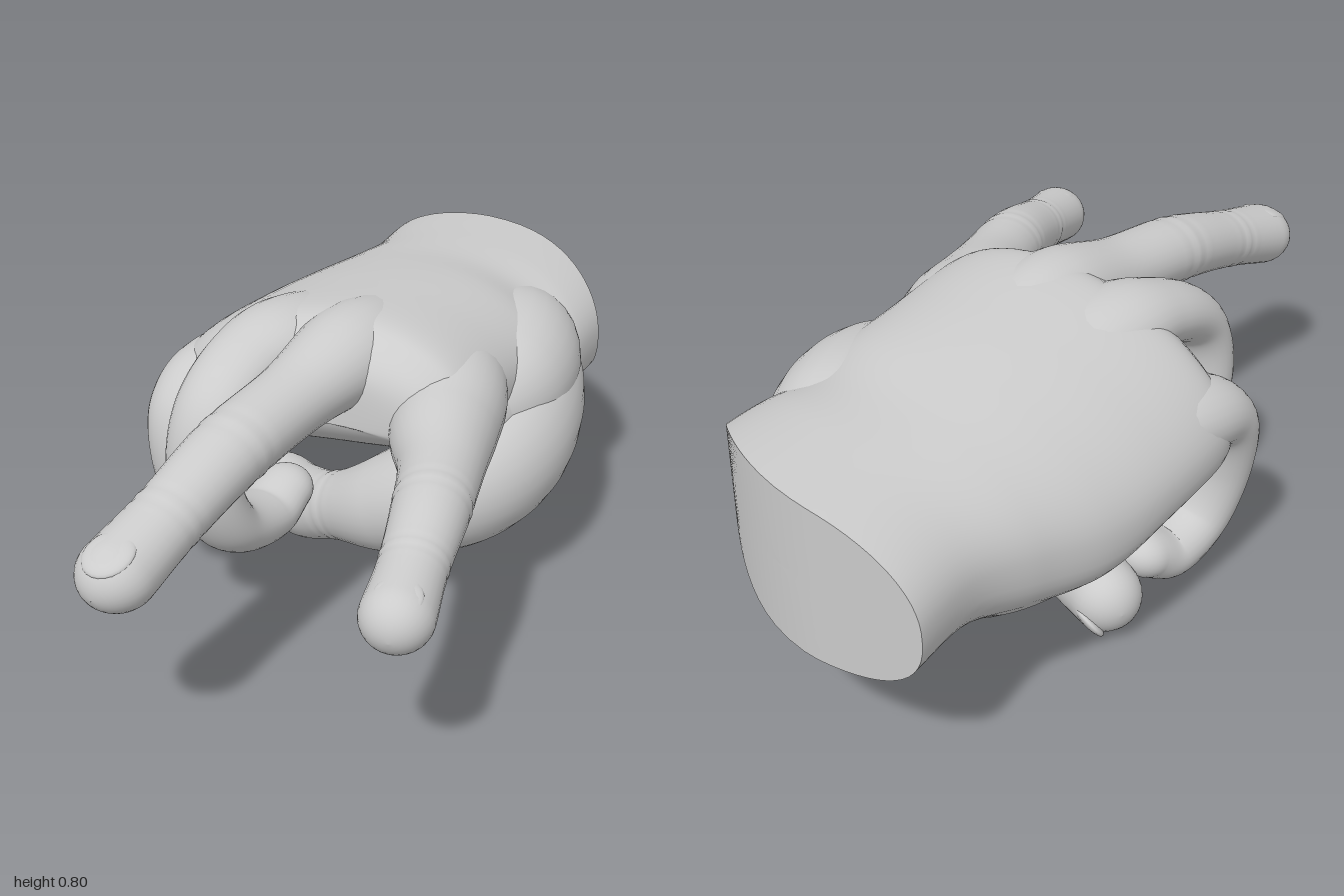
import * as THREE from 'three';

const skin = new THREE.MeshStandardMaterial({ color: 0xcccccc, roughness: 0.8 });
const V = (x, y, z) => new THREE.Vector3(x, y, z);

// Closed rings of points skinned into one smooth surface
function loft(name, rings, around, pointAt) {
  const pos = [], idx = [];
  for (let i = 0; i <= rings; i++) {
    for (let j = 0; j < around; j++) {
      pos.push(...pointAt(i / rings, (j / around) * Math.PI * 2).toArray());
      if (i === rings) continue;
      const a = i * around + j, b = i * around + (j + 1) % around;
      idx.push(a, b, a + around, b, b + around, a + around);
    }
  }
  const geo = new THREE.BufferGeometry();
  geo.setAttribute('position', new THREE.Float32BufferAttribute(pos, 3));
  geo.setIndex(idx);
  geo.computeVertexNormals();
  const mesh = new THREE.Mesh(geo, skin);
  mesh.name = name;
  return mesh;
}

// Smooth interpolation through rows of up to six values
function spline(rows) {
  const make = (k) => new THREE.CatmullRomCurve3(
    rows.map((r) => V(r[k] ?? 0, r[k + 1] ?? 0, r[k + 2] ?? 0)), false, 'catmullrom', 0.5);
  const first = make(0), second = make(3);
  return {
    at: (t) => [...first.getPoint(t).toArray(), ...second.getPoint(t).toArray()],
    tangent: (t) => first.getTangent(t),
  };
}

// Finger or muscle: rows of x, y, z, radius; round at both ends, creased at the joints
function limb(name, rows, sideRef, depth, joints = []) {
  const path = spline(rows), cap = 0.08;
  return loft(name, 130, 28, (u, a) => {
    const t = THREE.MathUtils.clamp((u - cap) / (1 - 2 * cap), 0, 1);
    const [x, y, z, r0] = path.at(t);
    const dir = path.tangent(t);
    const side = sideRef.clone().addScaledVector(dir, -sideRef.dot(dir)).normalize();
    const normal = dir.clone().cross(side);
    let r = r0, push = 0;
    for (const j of joints) r *= 1 + 0.018 * Math.exp(-(((t - j) / 0.03) ** 2)) * Math.cos((t - j) * 180);
    const e = u < cap ? u / cap - 1 : u > 1 - cap ? (u - 1 + cap) / cap : 0;
    if (e) {
      push = r * Math.sin(e * Math.PI / 2);
      r *= Math.max(Math.cos(e * Math.PI / 2), 0.002);
    }
    return V(x, y, z).addScaledVector(dir, push)
      .addScaledVector(side, r * Math.cos(a))
      .addScaledVector(normal, r * depth * Math.sin(a));
  });
}

// Thin curved nail lying along a fingertip
function nail(name, center, along, up, size) {
  const mesh = new THREE.Mesh(new THREE.SphereGeometry(1, 24, 16), skin);
  const z = along.clone().normalize();
  const x = up.clone().cross(z).normalize();
  mesh.quaternion.setFromRotationMatrix(new THREE.Matrix4().makeBasis(x, z.clone().cross(x), z));
  mesh.scale.set(size, size * 0.3, size * 1.05);
  mesh.position.copy(center);
  mesh.name = name;
  return mesh;
}

// Palm sections: z, centre x, half width, centre y, half height, tilt
const palmPath = spline([
  [-1.0, -0.08, 0.40, 0.50, 0.20, 0.0],
  [-0.8, -0.07, 0.39, 0.505, 0.205, 0.0],
  [-0.63, -0.09, 0.41, 0.495, 0.225, 0.0],
  [-0.45, -0.11, 0.445, 0.525, 0.22, 0.03],
  [-0.25, -0.13, 0.445, 0.58, 0.185, 0.05],
  [-0.02, -0.125, 0.44, 0.605, 0.175, 0.06],
  [0.07, -0.11, 0.40, 0.605, 0.145, 0.06],
  [0.13, -0.09, 0.30, 0.61, 0.085, 0.04],
  [0.15, -0.08, 0.01, 0.62, 0.005, 0.0],
]);

// The wrist is cut square on one side and sweeps forward on the thumb side
const cutZ = (x) => -1 + 0.25 * (Math.max(0, x + 0.2) / 0.52) ** 2;

function palmPoint(t, a, scale = 1) {
  const [z, cx, hw, cy, hh, tilt] = palmPath.at(t);
  const soft = (v) => Math.sign(v) * Math.abs(v) ** 0.85;
  const c = soft(Math.cos(a)) * scale, s = soft(Math.sin(a)) * scale;
  const x = cx + hw * c;
  const arch = 0.07 * THREE.MathUtils.smoothstep(z, -1, -0.2);
  const y = cy + hh * s + tilt * c - arch * c * c;
  const back = cutZ(x);
  return V(x, y, z < -0.4 ? back + (z + 1) / 0.6 * (-0.4 - back) : z);
}

export function createModel() {
  const hand = new THREE.Group();
  hand.name = 'hand';
  const X = V(1, 0, 0), Y = V(0, 1, 0);

  // Palm and the flat cut at the wrist
  hand.add(loft('palm', 80, 64, (u, a) => palmPoint(u, a)));
  hand.add(loft('wristCut', 14, 64, (u, a) => palmPoint(0, a, Math.max(u, 0.001))));

  // Extended fingers
  hand.add(limb('indexFinger', [
    [0.06, 0.60, -0.38, 0.08], [0.19, 0.585, -0.12, 0.135], [0.265, 0.565, 0.08, 0.13],
    [0.34, 0.56, 0.24, 0.1], [0.405, 0.55, 0.42, 0.088], [0.45, 0.515, 0.58, 0.078],
    [0.487, 0.485, 0.715, 0.083],
  ], X, 0.95, [0.63, 0.82]));
  hand.add(limb('middleFinger', [
    [-0.06, 0.63, -0.42, 0.08], [-0.04, 0.67, -0.15, 0.12], [-0.03, 0.685, 0.03, 0.13],
    [-0.045, 0.66, 0.25, 0.1], [-0.06, 0.63, 0.5, 0.096], [-0.07, 0.57, 0.73, 0.087],
    [-0.08, 0.52, 0.905, 0.093],
  ], X, 0.88, [0.66, 0.84]));

  // Curled fingers
  hand.add(limb('ringFinger', [
    [-0.18, 0.62, -0.4, 0.09], [-0.22, 0.675, -0.04, 0.13], [-0.25, 0.665, 0.14, 0.108],
    [-0.26, 0.58, 0.285, 0.098], [-0.265, 0.42, 0.32, 0.098], [-0.25, 0.265, 0.255, 0.097],
    [-0.245, 0.21, 0.1, 0.09], [-0.24, 0.24, 0.0, 0.08],
  ], X, 0.74));
  hand.add(limb('littleFinger', [
    [-0.36, 0.52, -0.38, 0.1], [-0.44, 0.525, -0.05, 0.12], [-0.465, 0.47, 0.1, 0.1],
    [-0.45, 0.32, 0.135, 0.092], [-0.425, 0.175, 0.09, 0.088], [-0.41, 0.12, -0.02, 0.084],
    [-0.4, 0.15, -0.1, 0.075],
  ], X, 0.82));

  // Thumb folding under the palm
  hand.add(limb('thumb', [
    [-0.02, 0.48, -0.75, 0.14], [0.15, 0.45, -0.53, 0.2], [0.24, 0.385, -0.3, 0.192],
    [0.2, 0.315, -0.14, 0.168], [0.03, 0.225, -0.1, 0.132], [-0.14, 0.155, -0.13, 0.094],
    [-0.28, 0.102, -0.185, 0.1], [-0.385, 0.1, -0.24, 0.09],
  ], Y, 1, [0.72]));

  // Muscle joining the thumb to the back of the hand, and the heel of the palm
  hand.add(limb('thumbWeb', [
    [0.08, 0.52, -0.72, 0.12], [0.17, 0.52, -0.54, 0.17], [0.225, 0.51, -0.36, 0.165],
    [0.2, 0.49, -0.2, 0.13],
  ], X, 1));
  hand.add(limb('palmHeel', [
    [-0.2, 0.46, -0.74, 0.17], [-0.28, 0.42, -0.6, 0.2], [-0.33, 0.42, -0.38, 0.195],
    [-0.35, 0.48, -0.15, 0.16],
  ], X, 0.75));

  // Nails
  hand.add(nail('indexNail', V(0.495, 0.54, 0.728), V(0.26, -0.36, 0.9), V(0.1, 1, 0.2), 0.054));
  hand.add(nail('middleNail', V(-0.08, 0.576, 0.93), V(-0.05, -0.4, 0.92), V(0, 1, 0.25), 0.06));
  hand.add(nail('thumbNail', V(-0.38, 0.056, -0.3), V(-0.87, -0.05, -0.42), V(0.3, -0.6, -0.74), 0.05));
  return hand;
}
